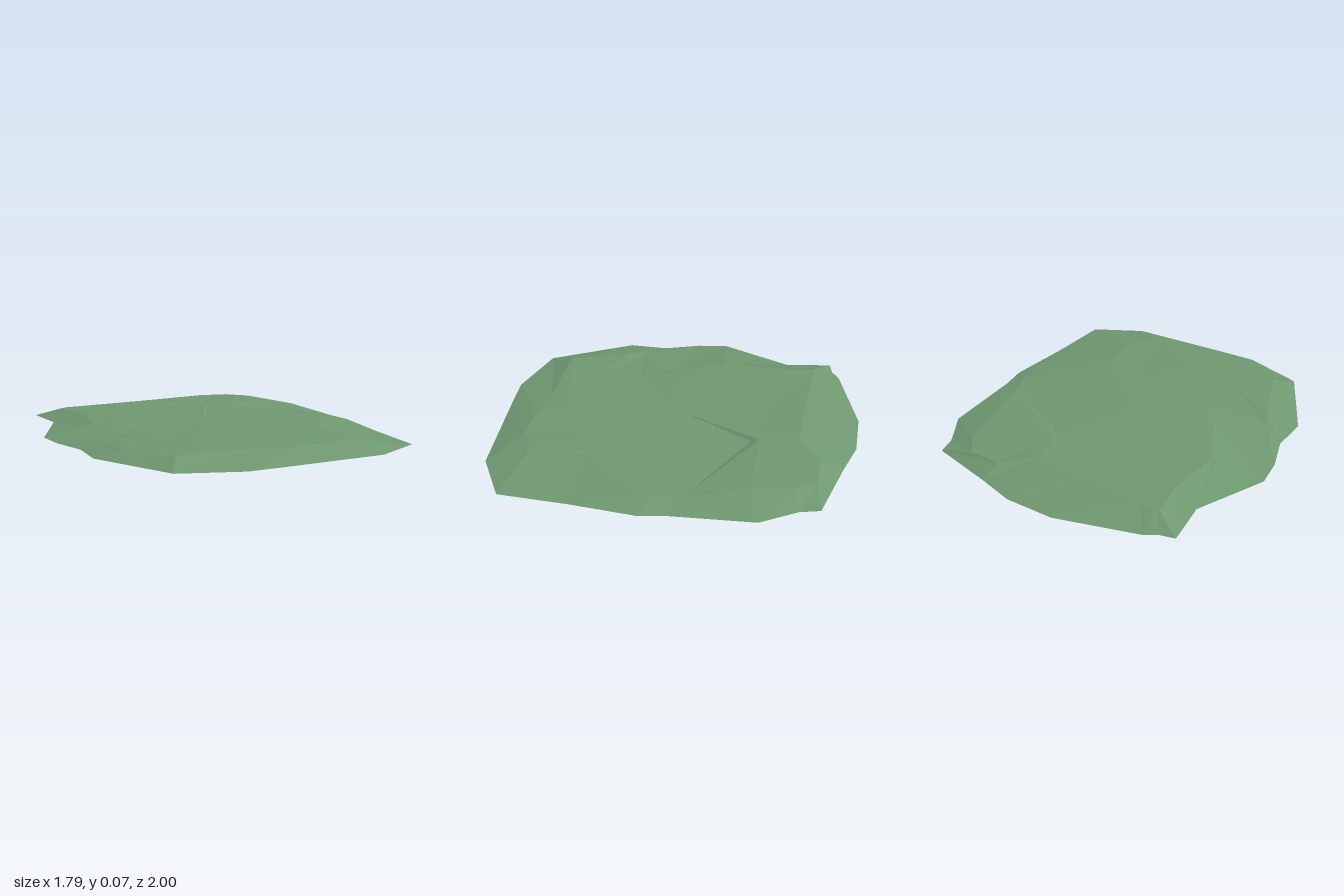
import * as THREE from 'three';

// Ground outline (x, z), running back -> right -> front -> left
const OUTLINE = [
  [-0.17, -1], [0.11, -1], [0.32, -0.94], [0.69, -0.85], [0.72, -0.74], [0.84, -0.55],
  [0.87, -0.08], [0.895, 0.06], [0.865, 0.42], [0.85, 0.8], [0.58, 0.95], [-0.01, 0.99],
  [-0.21, 1], [-0.55, 0.9], [-0.8, 0.45], [-0.8, 0.23], [-0.87, 0.03], [-0.895, -0.14],
  [-0.73, -0.54], [-0.77, -0.8], [-0.69, -0.82], [-0.62, -0.865],
];

// Top edge of the sloping border (x, y, z), one point per outline point
const RIM = [
  [-0.15, 0.06, -0.695], [0.16, 0.067, -0.69], [0.32, 0.045, -0.82], [0.5, 0.04, -0.815],
  [0.6, 0.043, -0.7], [0.64, 0.05, -0.48], [0.75, 0.025, -0.14], [0.8, 0.025, 0],
  [0.46, 0.055, 0.43], [0.5, 0.053, 0.72], [0.35, 0.05, 0.8], [0.18, 0.053, 0.79],
  [-0.06, 0.05, 0.76], [-0.48, 0.05, 0.76], [-0.62, 0.045, 0.42], [-0.66, 0.03, 0.33],
  [-0.43, 0.05, 0.14], [-0.6, 0.05, -0.17], [-0.58, 0.05, -0.5], [-0.62, 0.05, -0.71],
  [-0.6, 0.05, -0.715], [-0.5, 0.053, -0.705],
];

// Crown corners and which of them each rim point joins
const CROWN = [
  [-0.1, 0.058, -0.46], [0.2, 0.06, -0.48], [0.2, 0.042, -0.43], [0.2, 0.058, 0.2],
  [0, 0.06, 0.64], [-0.3, 0.054, 0.56], [-0.3, 0.052, 0.3], [-0.25, 0.058, 0.1],
];
const JOINS = [0, 1, 1, 1, 1, 1, 2, 2, 3, 3, 4, 4, 4, 5, 5, 6, 7, 7, 0, 0, 0, 0];

function facets(triangles) {
  const geometry = new THREE.BufferGeometry();
  geometry.setAttribute('position', new THREE.Float32BufferAttribute(triangles.flat(2), 3));
  geometry.computeVertexNormals();
  return geometry;
}

// Facets between two rings of equal length, skipping collapsed ones
function band(outer, inner) {
  const tris = [];
  outer.forEach((a, i) => {
    const j = (i + 1) % outer.length;
    tris.push([a, inner[i], outer[j]]);
    if (inner[i] !== inner[j]) tris.push([outer[j], inner[i], inner[j]]);
  });
  return tris;
}

// Fan from a centre point to a ring, facing up or down
function fan(ring, centre, up) {
  return ring.map((a, i) => {
    const b = ring[(i + 1) % ring.length];
    return up ? [a, centre, b] : [a, b, centre];
  });
}

export function createModel() {
  const group = new THREE.Group();
  group.name = 'grassPatch';
  const grass = new THREE.MeshStandardMaterial({ color: 0x6f9870 });
  grass.name = 'grass green';
  grass.flatShading = true;

  const ground = OUTLINE.map(([x, z]) => [x, 0, z]);
  const parts = {
    slopingBorder: band(ground, RIM),
    unevenTop: band(RIM, JOINS.map((k) => CROWN[k])),
    crown: fan(CROWN, [0, 0.06, 0], true),
    underside: fan(ground, [0, 0, 0], false),
  };
  for (const [name, triangles] of Object.entries(parts)) {
    const mesh = new THREE.Mesh(facets(triangles), grass);
    mesh.name = name;
    group.add(mesh);
  }
  return group;
}
